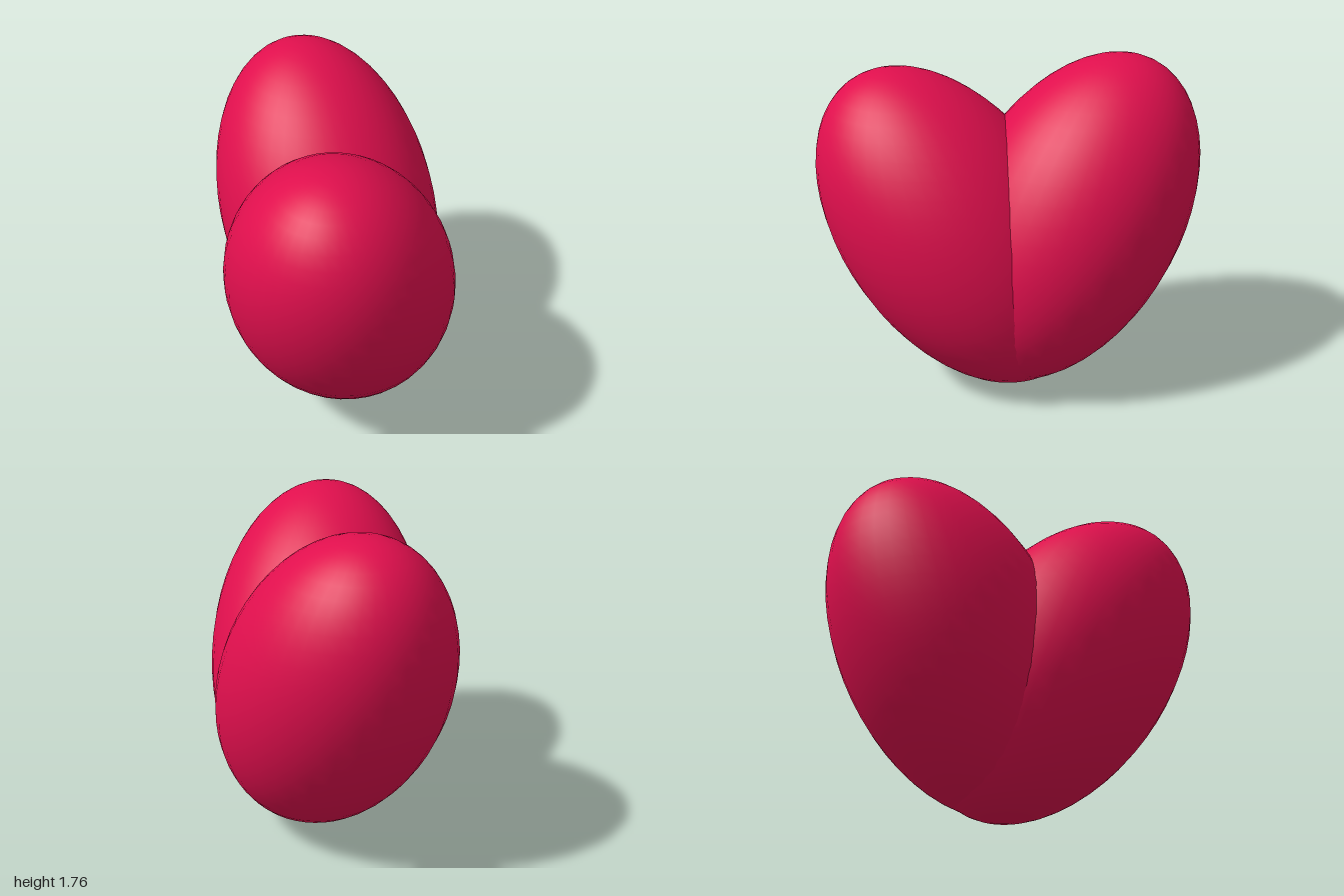
import * as THREE from 'three';

const material = new THREE.MeshStandardMaterial({ color: 0xe00f4d });

// One leaning egg-like lobe: a sphere whose three axes are replaced by
// the given half-axes (side, tip, depth), placed at its centre.
function makeLobe(name, center, side, tip, depth) {
  const geometry = new THREE.SphereGeometry(1, 40, 28);
  const axes = new THREE.Matrix4().makeBasis(
    new THREE.Vector3(...side),
    new THREE.Vector3(...tip),
    new THREE.Vector3(...depth)
  );
  geometry.applyMatrix4(axes);
  const lobe = new THREE.Mesh(geometry, material);
  lobe.name = name;
  lobe.position.set(...center);
  return lobe;
}

export function createModel() {
  const heart = new THREE.Group();
  heart.name = 'heart';
  // The two lobes lean apart and merge towards the bottom
  heart.add(
    makeLobe('frontLobe', [0, 0.85, 0.28], [0.589, 0, 0], [-0.08, 0.85, 0.294], [-0.022, 0, 0.657]),
    makeLobe('backLobe', [0, 0.895, -0.31], [0.591, 0, 0], [-0.098, 0.865, -0.26], [0.03, 0, 0.639])
  );
  return heart;
}
